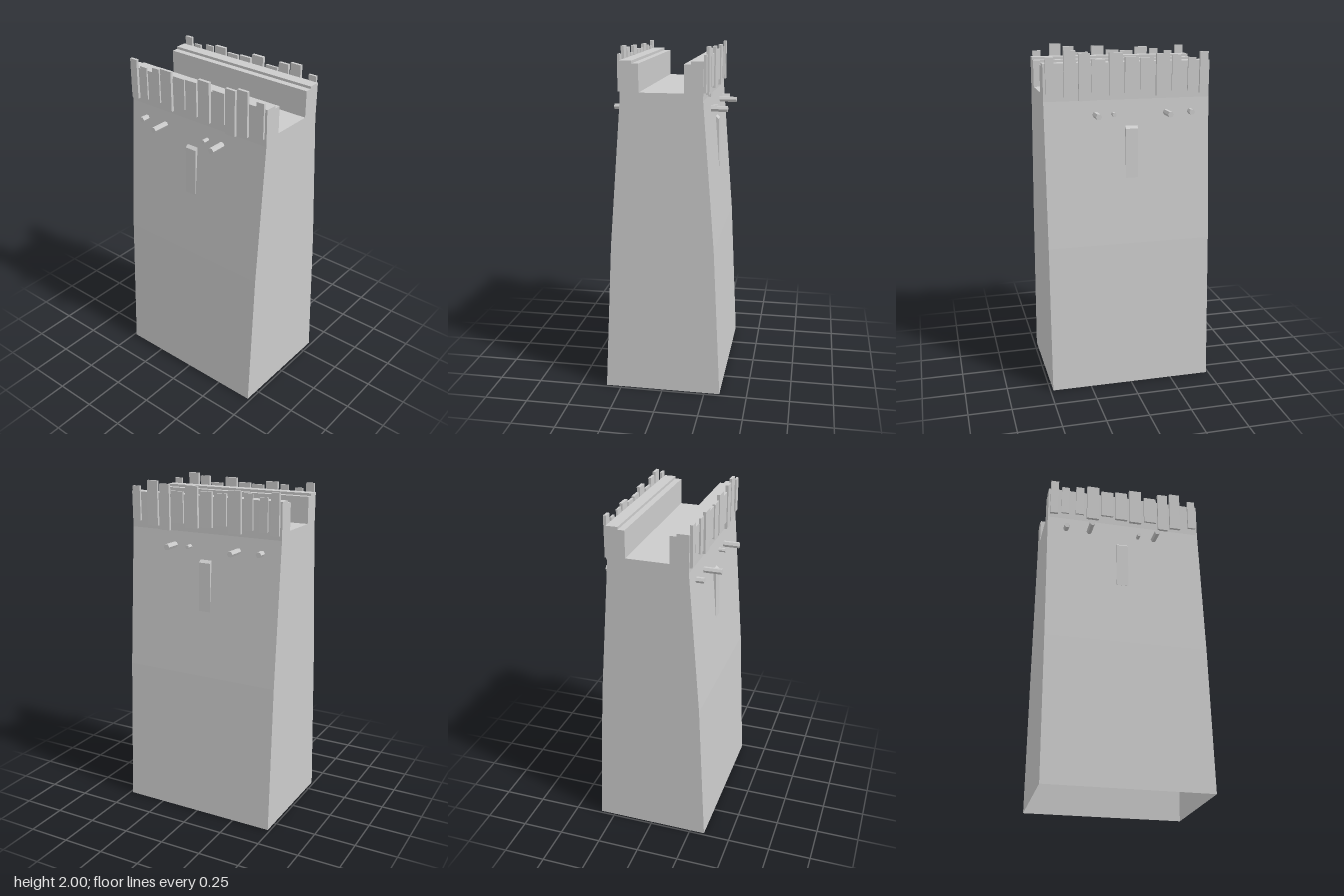
import * as THREE from 'three';

const solid = new THREE.MeshStandardMaterial({ color: 0xcccccc, flatShading: true });
const shell = new THREE.MeshStandardMaterial({ color: 0xcccccc, flatShading: true, side: THREE.DoubleSide });

function addMesh(parent, name, geometry, material = solid) {
  const mesh = new THREE.Mesh(geometry, material);
  mesh.name = name;
  parent.add(mesh);
  return mesh;
}

// Extrudes a (z, y) outline along x, from x0 to x1
function extrudeAlongX(points, x0, x1) {
  const shape = new THREE.Shape(points.map(([z, y]) => new THREE.Vector2(-z, y)));
  const g = new THREE.ExtrudeGeometry(shape, { depth: x1 - x0, bevelEnabled: false });
  g.rotateY(Math.PI / 2);
  g.translate(x0, 0, 0);
  return g;
}

// Removes the triangles lying on the ground, leaving the underside open
function openBottom(geometry) {
  const p = geometry.attributes.position;
  const kept = [];
  for (let i = 0; i < p.count; i += 3) {
    if ([0, 1, 2].every(k => Math.abs(p.getY(i + k)) < 1e-5)) continue;
    for (let k = 0; k < 3; k++) kept.push(p.getX(i + k), p.getY(i + k), p.getZ(i + k));
  }
  const g = new THREE.BufferGeometry();
  g.setAttribute('position', new THREE.Float32BufferAttribute(kept, 3));
  g.computeVertexNormals();
  return g;
}

// Planks: left x, right x, bottom y, top y, outer z
const PLANKS = [
  [-0.474, -0.425, 1.745, 1.98, 0.246],
  [-0.403, -0.355, 1.757, 1.948, 0.24],
  [-0.312, -0.26, 1.762, 1.962, 0.24],
  [-0.242, -0.165, 1.737, 1.974, 0.247],
  [-0.15, -0.072, 1.773, 1.953, 0.242],
  [-0.06, 0.018, 1.757, 1.958, 0.246],
  [0.032, 0.109, 1.747, 1.984, 0.248],
  [0.13, 0.209, 1.767, 1.948, 0.242],
  [0.22, 0.284, 1.72, 1.984, 0.246],
  [0.299, 0.367, 1.741, 2.0, 0.246],
  [0.421, 0.47, 1.762, 1.963, 0.243],
];

// Beams: x, radius, outer z
const BEAMS = [[-0.371, 0.017, 0.282], [-0.225, 0.017, 0.34], [0.086, 0.012, 0.275], [0.189, 0.018, 0.331]];

// Everything fixed to one long wall
function makeWallFittings() {
  const side = new THREE.Group();
  for (const [x0, x1, y0, y1, z1] of PLANKS) {
    const z0 = 0.229;
    const plank = addMesh(side, 'plank', new THREE.BoxGeometry(x1 - x0, y1 - y0, z1 - z0));
    plank.position.set((x0 + x1) / 2, (y0 + y1) / 2, (z0 + z1) / 2);
  }
  for (const [x, r, z1] of BEAMS) {
    const z0 = 0.22;
    const g = new THREE.CylinderGeometry(r, r, z1 - z0, 6).rotateX(Math.PI / 2).rotateZ(Math.PI / 6);
    addMesh(side, 'beamEnd', g).position.set(x, 1.64, (z0 + z1) / 2);
  }
  // Raised strip with a sloping top that sinks into the wall lower down
  const strip = [[0.22, 1.57], [0.22, 1.27], [0.266, 1.27], [0.259, 1.555], [0.241, 1.57]];
  addMesh(side, 'wallStrip', extrudeAlongX(strip, -0.056, 0.017));
  return side;
}

export function createModel() {
  const model = new THREE.Group();
  model.name = 'wallSection';

  // Tapered wall with a walkway sunk between two stepped parapets
  const half = [[0.34, 0], [0.296, 0.88], [0.229, 1.72], [0.231, 1.93], [0.162, 1.93],
    [0.162, 1.915], [0.124, 1.915], [0.124, 1.76]];
  const outline = [...half, ...half.map(([z, y]) => [-z, y]).reverse()];
  addMesh(model, 'wallBody', openBottom(extrudeAlongX(outline, -0.486, 0.483)), shell);

  // Same fittings front and back, mirrored across z
  const front = makeWallFittings();
  front.name = 'frontFittings';
  const back = makeWallFittings();
  back.name = 'backFittings';
  back.scale.z = -1;
  model.add(front, back);
  return model;
}
